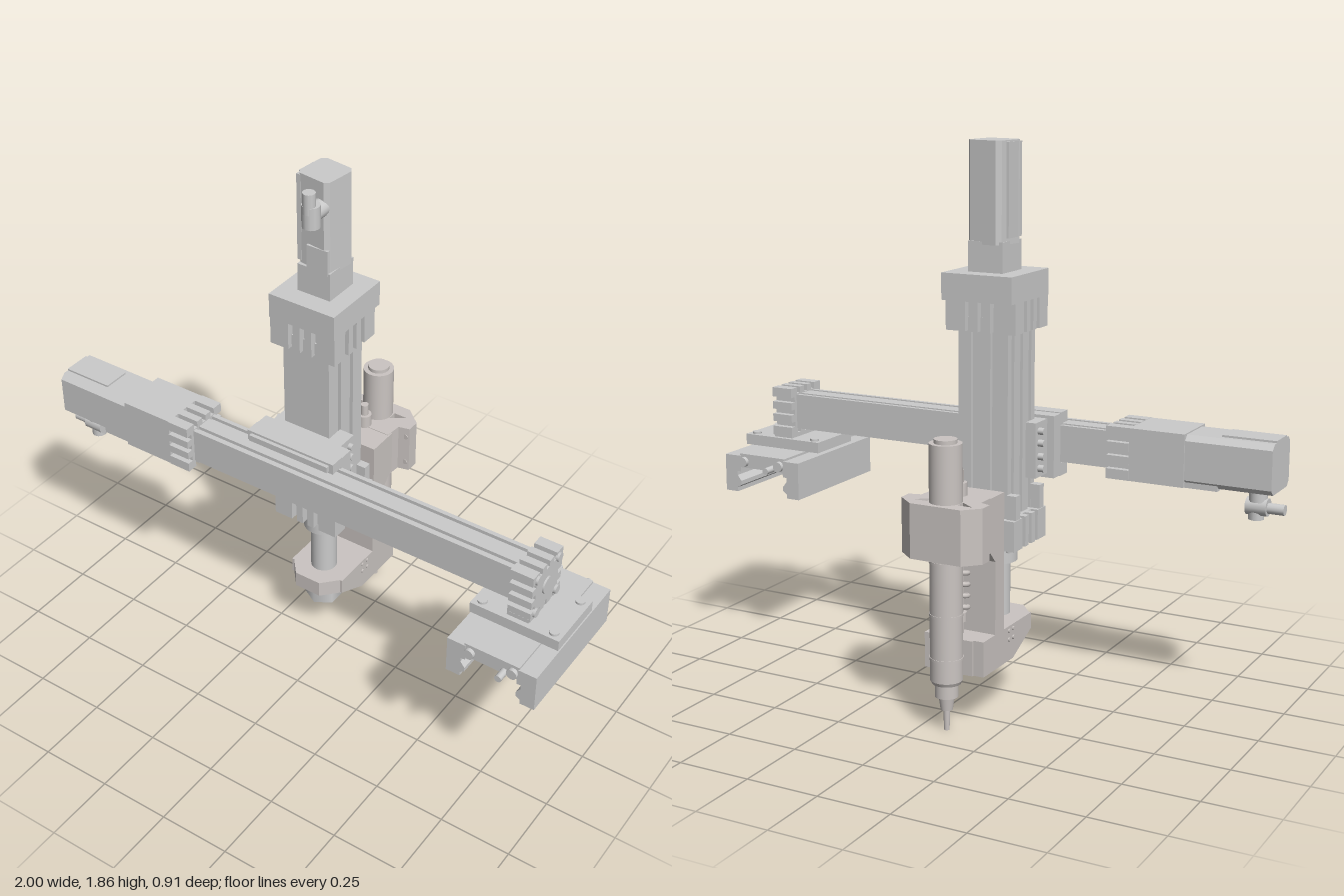
import * as THREE from 'three';

const steel = new THREE.MeshStandardMaterial({ color: 0xcccccc });
const toolGrey = new THREE.MeshStandardMaterial({ color: 0xcbc5c2 });

export function createModel() {
  const root = new THREE.Group();
  let mat = steel;
  let parent = root;

  const group = (name) => {
    parent = new THREE.Group();
    parent.name = name;
    root.add(parent);
    return parent;
  };
  const add = (name, geo) => {
    const m = new THREE.Mesh(geo, mat);
    m.name = name;
    parent.add(m);
    return m;
  };
  // Box from its limits on each axis
  const box = (name, x0, x1, y0, y1, z0, z1) => add(name,
    new THREE.BoxGeometry(x1 - x0, y1 - y0, z1 - z0)
      .translate((x0 + x1) / 2, (y0 + y1) / 2, (z0 + z1) / 2));
  // Cylinder centred on p, along one axis
  const cyl = (name, r, len, p, axis = 'y', sides = 28, rTop = r) => {
    const g = new THREE.CylinderGeometry(rTop, r, len, sides);
    if (axis === 'x') g.rotateZ(-Math.PI / 2);
    if (axis === 'z') g.rotateX(Math.PI / 2);
    return add(name, g.translate(...p));
  };
  const shapeOf = (pts) => new THREE.Shape(pts.map(([a, b]) => new THREE.Vector2(a, b)));
  const extrude = (shape, len) =>
    new THREE.ExtrudeGeometry(shape, { depth: len, bevelEnabled: false, curveSegments: 14 });
  // Profile in (x, -z) pushed up y, or in (-z, y) pushed along x
  const upright = (name, shape, y0, y1, x = 0, z = 0) =>
    add(name, extrude(shape, y1 - y0).rotateX(-Math.PI / 2).translate(x, y0, z));
  const along = (name, shape, x0, x1, y = 0, z = 0) =>
    add(name, extrude(shape, x1 - x0).rotateY(Math.PI / 2).translate(x0, y, z));

  // Rectangle with grooves; slots lists offsets for bottom, right, top and left sides
  const slotted = (w, h, slots, g, d) => {
    const pts = [];
    const dirs = [[1, 0], [0, 1], [-1, 0], [0, -1]];
    dirs.forEach(([dx, dy], i) => {
      const half = (i % 2 ? h : w) / 2, out = (i % 2 ? w : h) / 2;
      const at = (s, depth) => pts.push([
        dx * s + dy * (out - depth), dy * s - dx * (out - depth)]);
      at(-half, 0);
      for (const s of slots[i]) {
        at(s - g / 2, 0); at(s - g / 2, d); at(s + g / 2, d); at(s + g / 2, 0);
      }
    });
    return shapeOf(pts);
  };
  const chamfered = (w, h, c) => {
    const a = w / 2, b = h / 2;
    return shapeOf([[-a + c, -b], [a - c, -b], [a, -b + c], [a, b - c],
      [a - c, b], [-a + c, b], [-a, b - c], [-a, -b + c]]);
  };

  // ---- Horizontal axis ----
  group('horizontalAxis');
  const by = 0.853, bz = 0.177, pair = [-0.035, 0.035];
  along('beam', slotted(0.116, 0.124, [pair, [], pair, []], 0.016, 0.012), -0.45, 0.83, by, bz);
  const three = [-0.045, 0, 0.045];
  const fingers = slotted(0.185, 0.175, [three, three, three, three], 0.018, 0.022);
  along('beamEndCap', fingers, 0.81, 0.89, by, bz);
  along('beamDriveCap', fingers, -0.5, -0.42, by, bz);
  for (const sy of [-1, 1]) for (const sz of [-1, 1])
    cyl('capScrew', 0.016, 0.012, [0.892, by + sy * 0.065, bz + sz * 0.065], 'x', 12);
  cyl('capBoss', 0.03, 0.008, [0.892, by, bz], 'x');
  box('driveHousing', -0.69, -0.5, 0.765, 0.94, 0.087, 0.267);
  along('beamMotor', chamfered(0.168, 0.165, 0.018), -0.98, -0.69, by, bz);
  box('motorTopRib', -0.98, -0.8, 0.92, 0.942, 0.13, 0.225);
  box('motorFoot', -0.8, -0.69, 0.763, 0.79, 0.1, 0.255);
  cyl('plugBase', 0.03, 0.05, [-0.91, 0.755, bz]);
  cyl('plugBody', 0.03, 0.07, [-0.91, 0.712, bz], 'x', 12);
  cyl('plugElbow', 0.026, 0.05, [-0.905, 0.695, bz], 'y', 12);
  cyl('plugTip', 0.018, 0.08, [-0.96, 0.71, bz], 'x', 12);

  // ---- Carriage joining the axes ----
  group('carriage');
  box('saddlePlate', -0.24, 0.1, 0.745, 0.955, 0.07, 0.125);
  for (const [y0, y1] of [[0.92, 0.958], [0.742, 0.786]]) {
    box('saddleLip', -0.24, 0.1, y0, y1, 0.12, 0.172);
    box('saddleRidge', -0.225, 0.085, y0 + 0.008, y1 - 0.008, 0.168, 0.185);
  }
  box('mountBlock', -0.215, 0.055, 0.76, 0.945, 0.045, 0.072);
  for (const [x0, x1] of [[-0.215, -0.178], [0, 0.055]]) {
    box('mountClamp', x0, x1, 0.76, 0.945, -0.015, 0.05);
    for (const y of [0.79, 0.83, 0.875, 0.915])
      cyl('clampBolt', 0.012, 0.03, [x0 < -0.1 ? -0.22 : 0.055, y, 0.01], 'x', 12);
  }

  // ---- Vertical axis ----
  group('verticalAxis');
  const cx = -0.09, cz = -0.048;
  upright('column', slotted(0.178, 0.19, [[], pair, pair, [-0.06, 0, 0.06]], 0.018, 0.014),
    0.6, 1.3, cx, cz);
  const capShape = slotted(0.25, 0.228, [three, three, three, three], 0.02, 0.025);
  upright('upperCollar', capShape, 1.255, 1.36, cx, cz);
  upright('lowerCollar', capShape, 0.548, 0.65, cx, cz - 0.002);
  for (const sx of [-1, 1]) for (const sz of [-1, 1]) {
    box('collarLug', cx + sx * 0.105 - 0.018, cx + sx * 0.105 + 0.018, 0.64, 0.73,
      cz + sz * 0.085 - 0.015, cz + sz * 0.085 + 0.015);
    cyl('collarScrew', 0.014, 0.015, [cx + sx * 0.095, 0.545, cz + sz * 0.085], 'y', 12);
  }
  box('headBlock', -0.215, 0.035, 1.355, 1.442, -0.19, 0.07);
  box('motorNeck', -0.152, -0.028, 1.44, 1.54, -0.13, 0);
  const motor = upright('columnMotor', chamfered(0.126, 0.126, 0.014), 0, 0.325);
  motor.position.set(cx, 1.53, -0.068);
  motor.rotation.y = -0.13;
  box('motorSideRib', -0.158, -0.142, 1.55, 1.85, -0.1, -0.01);
  box('motorFrontRib', -0.115, -0.035, 1.53, 1.62, -0.02, 0.002);
  cyl('motorPlugBase', 0.03, 0.05, [-0.065, 1.765, 0.015], 'z', 16);
  cyl('motorPlugBody', 0.03, 0.075, [-0.06, 1.765, 0.052], 'y', 12);
  cyl('motorPlugTip', 0.021, 0.07, [-0.06, 1.813, 0.062], 'y', 12);
  cyl('rodCollar', 0.07, 0.07, [cx, 0.515, cz]);
  cyl('rod', 0.046, 0.32, [cx, 0.35, cz]);
  cyl('rodNut', 0.066, 0.068, [cx, 0.187, cz], 'y', 6);
  cyl('rodNutFace', 0.045, 0.014, [cx, 0.15, cz]);

  // ---- Tool bracket ----
  group('toolBracket');
  mat = toolGrey;
  const tz = -0.387;
  upright('rodClamp', shapeOf([[-0.195, 0.21], [-0.195, 0.01], [-0.14, -0.055],
    [-0.04, -0.055], [0.02, 0.01], [0.02, 0.21]]), 0.236, 0.295);
  // Side cheeks and column
  const cheek = shapeOf([[0.0, 0.24], [0.13, 0.177], [0.335, 0.177], [0.335, 0.295], [0.255, 0.295],
    [0.255, 0.54], [0.31, 0.6], [0.31, 0.755], [0.195, 0.755], [0.195, 0.295], [0, 0.295]]);
  along('leftCheek', cheek, -0.02, 0.02);
  along('rightCheek', cheek, -0.195, -0.155);
  box('bracketWall', -0.16, -0.015, 0.24, 0.755, -0.255, -0.195);
  box('bracketFloor', -0.16, -0.015, 0.178, 0.295, -0.345, -0.19);
  box('bracketHead', -0.16, -0.015, 0.58, 0.755, -0.33, -0.24);
  for (const x of [-0.197, 0.022]) for (const z of [-0.13, -0.16]) for (const y of [0.25, 0.28])
    cyl('cheekScrew', 0.007, 0.006, [x, y, z], 'x', 10);
  // Head clamp with a bore for the tool
  const jaw = shapeOf([[-0.195, 0.29], [0.015, 0.29], [0.02, 0.35], [0.06, 0.36], [0.06, 0.405],
    [0, 0.457], [-0.18, 0.457], [-0.23, 0.405], [-0.23, 0.36], [-0.195, 0.35]]);
  for (const s of [-1, 1]) {
    const gap = [[0.055, 0.41], [0.105, 0.41], [0.055, 0.375]];
    jaw.holes.push(new THREE.Path(gap.map(([a, b]) => new THREE.Vector2(cx + s * a, b))));
  }
  upright('toolClamp', jaw, 0.577, 0.757);
  for (const x of [-0.215, 0.045]) for (const y of [0.61, 0.72])
    cyl('clampScrew', 0.01, 0.03, [x, y, -0.37], 'z', 12);

  // ---- Spring beside the tool ----
  group('springUnit');
  const coil = [];
  for (let i = 0; i <= 72; i++) {
    const a = i / 72 * Math.PI * 10;
    coil.push(new THREE.Vector3(cx + 0.026 * Math.cos(a), 0.37 + 0.19 * i / 72,
      -0.298 + 0.026 * Math.sin(a)));
  }
  add('spring', new THREE.TubeGeometry(new THREE.CatmullRomCurve3(coil), 160, 0.008, 8));
  cyl('springPin', 0.013, 0.3, [cx, 0.45, -0.298], 'y', 14);
  cyl('springSeat', 0.022, 0.03, [cx, 0.355, -0.298], 'y', 16);
  cyl('springCap', 0.025, 0.05, [cx, 0.775, -0.3], 'y', 16);
  cyl('springCapTop', 0.014, 0.045, [cx, 0.818, -0.3], 'y', 12);

  // ---- Spindle tool ----
  group('spindle');
  const profile = [[0, 0], [0.009, 0], [0.011, 0.07], [0.011, 0.07], [0.02, 0.07], [0.026, 0.115],
    [0.026, 0.115], [0.038, 0.115], [0.038, 0.16], [0.047, 0.16], [0.053, 0.172], [0.053, 0.945],
    [0.037, 0.945], [0.037, 0.958], [0, 0.958]];
  // Doubled inner points keep the steps crisp
  const crisp = profile.flatMap(([r, y]) => [new THREE.Vector2(r, y), new THREE.Vector2(r, y)]);
  add('spindleBody', new THREE.LatheGeometry(crisp, 32).translate(cx, 0, tz));
  for (const y of [0.245, 0.39, 0.565])
    cyl('spindleBand', 0.055, 0.008, [cx, y, tz]);
  mat = steel;

  // ---- Cross slide at the far end of the beam ----
  group('crossSlide');
  const rx = 0.845;
  box('slideTopPlate', 0.69, 1, 0.722, 0.76, 0.07, 0.288);
  box('slideBed', 0.75, 0.94, 0.67, 0.72, -0.055, 0.415);
  // C-shaped rails, mirrored about the slide centre
  const railPts = [[0.155, 0.58], [0.155, 0.712], [0.09, 0.712], [0.09, 0.655], [0.105, 0.655],
    [0.105, 0.64], [0.09, 0.62], [0.09, 0.605], [0.105, 0.595], [0.105, 0.58]];
  for (const s of [-1, 1]) {
    const g = extrude(shapeOf(railPts.map(([a, b]) => [rx + s * a, b])), 0.475);
    add('slideRail', g.translate(0, 0, -0.058));
    for (const z of [-0.06, 0.418])
      cyl('railEndScrew', 0.018, 0.02, [rx + s * 0.075, 0.692, z], 'z', 16);
    for (const z of [0.095, 0.262])
      cyl('plateScrew', 0.016, 0.012, [rx + s * 0.125, 0.762, z], 'y', 14);
  }
  for (const [x, z] of [[0.8, -0.075], [0.89, 0.43]])
    cyl('slideFitting', 0.012, 0.05, [x, 0.68, z], 'z', 12);
  box('beamFoot', 0.81, 0.885, 0.755, 0.775, 0.085, 0.27);

  return root;
}
